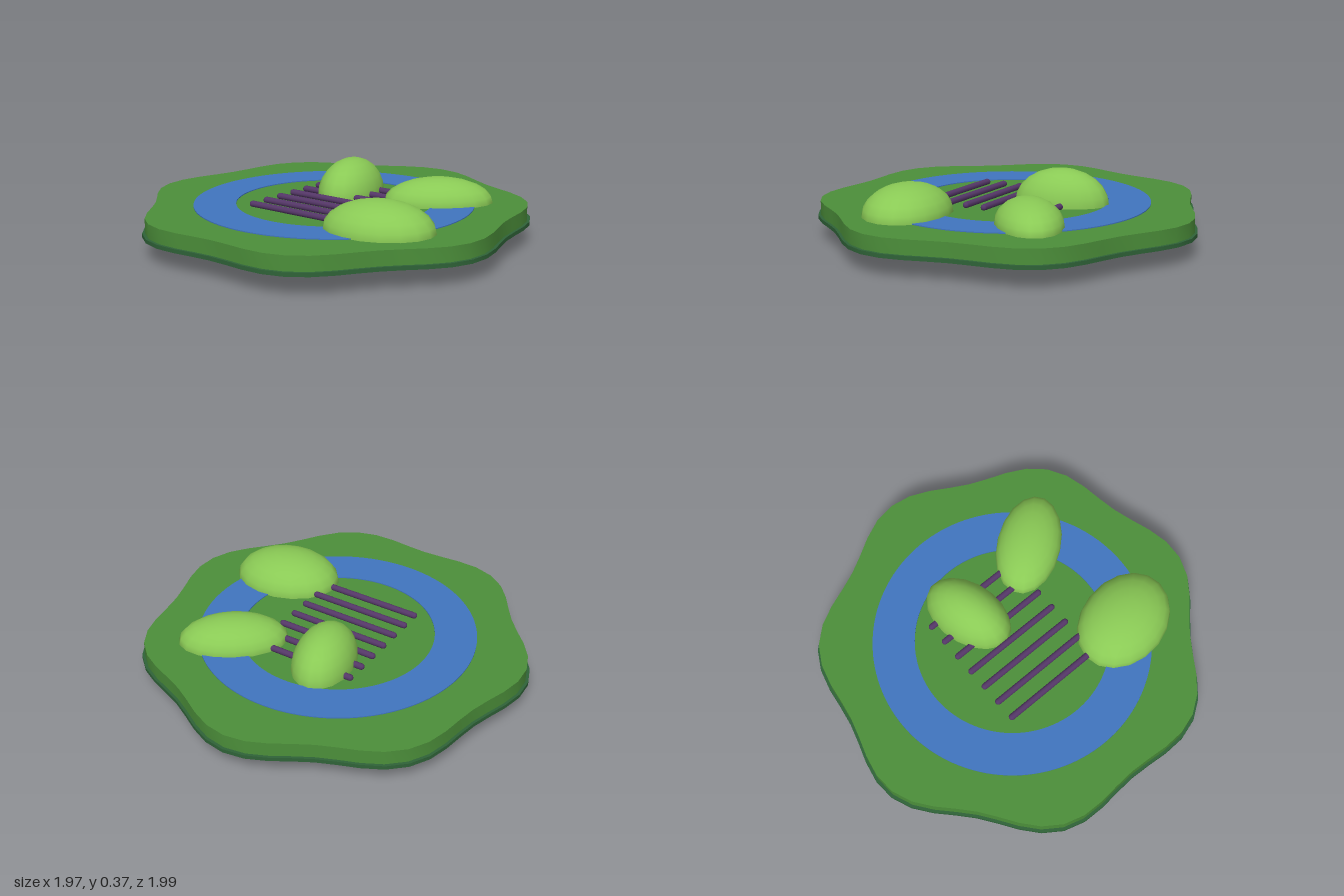
import * as THREE from 'three';
import { toCreasedNormals } from 'three/addons/utils/BufferGeometryUtils.js';

const mat = (name, color) => {
  const m = new THREE.MeshStandardMaterial({ color });
  m.name = name;
  return m;
};

// Seven-lobed wavy outline
function wavyShape(scale) {
  const pts = [];
  for (let i = 0; i < 56; i++) {
    const a = (i / 56) * Math.PI * 2;
    const r = scale * (0.975 + 0.04 * Math.cos(7 * a));
    pts.push(new THREE.Vector2(r * Math.cos(a), r * Math.sin(a)));
  }
  return new THREE.Shape(pts);
}

// Horizontal slab between two heights
function slab(name, shape, y0, y1, material, curveSegments = 12) {
  const geo = new THREE.ExtrudeGeometry(shape, { depth: y1 - y0, bevelEnabled: false, curveSegments });
  geo.rotateX(-Math.PI / 2);
  const mesh = new THREE.Mesh(toCreasedNormals(geo, 0.6), material);
  mesh.name = name;
  mesh.position.y = y0;
  return mesh;
}

export function createModel() {
  const lawnGreen = mat('lawn green', 0x4c8f3a);
  const baseGreen = mat('dark green', 0x2f6338);
  const blue = mat('path blue', 0x4175c0);
  const purple = mat('slat purple', 0x553768);
  const lime = mat('bush lime', 0x8aca55);

  const model = new THREE.Group();
  model.name = 'gardenIsland';
  const cx = -0.033;

  // Base rim, lawn and ring path
  const ground = new THREE.Group();
  ground.name = 'ground';
  ground.position.x = cx;
  const ring = new THREE.Shape().absarc(0, 0, 0.722, 0, Math.PI * 2);
  ring.holes.push(new THREE.Path().absarc(0, 0, 0.504, 0, Math.PI * 2, true));
  ground.add(
    slab('baseRim', wavyShape(1), 0.1, 0.12, baseGreen),
    slab('lawn', wavyShape(0.985), 0.12, 0.195, lawnGreen),
    slab('ringPath', ring, 0.194, 0.2, blue, 64)
  );
  model.add(ground);

  // Row of round-ended slats
  const slatGeo = new THREE.CapsuleGeometry(0.017, 0.542, 4, 10).rotateX(Math.PI / 2);
  for (let i = -3; i <= 3; i++) {
    const slat = new THREE.Mesh(slatGeo, purple);
    slat.name = 'slat';
    slat.position.set(cx + i * 0.1065, 0.207, -0.003);
    model.add(slat);
  }

  // Ellipsoid bushes: centre, radii, turn
  const bushGeo = new THREE.SphereGeometry(1, 18, 12);
  const bushes = [
    ['bushFrontRight', [-0.33, 0.192, 0.508], [0.22, 0.152, 0.285], 0.22],
    ['bushCentre', [0.22, 0.19, -0.083], [0.249, 0.186, 0.16], 0.25],
    ['bushFrontLeft', [0.315, 0.194, 0.413], [0.17, 0.13, 0.283], 0.645],
  ];
  for (const [name, p, s, turn] of bushes) {
    const bush = new THREE.Mesh(bushGeo, lime);
    bush.name = name;
    bush.position.set(...p);
    bush.scale.set(...s);
    bush.rotation.y = turn;
    model.add(bush);
  }
  return model;
}
